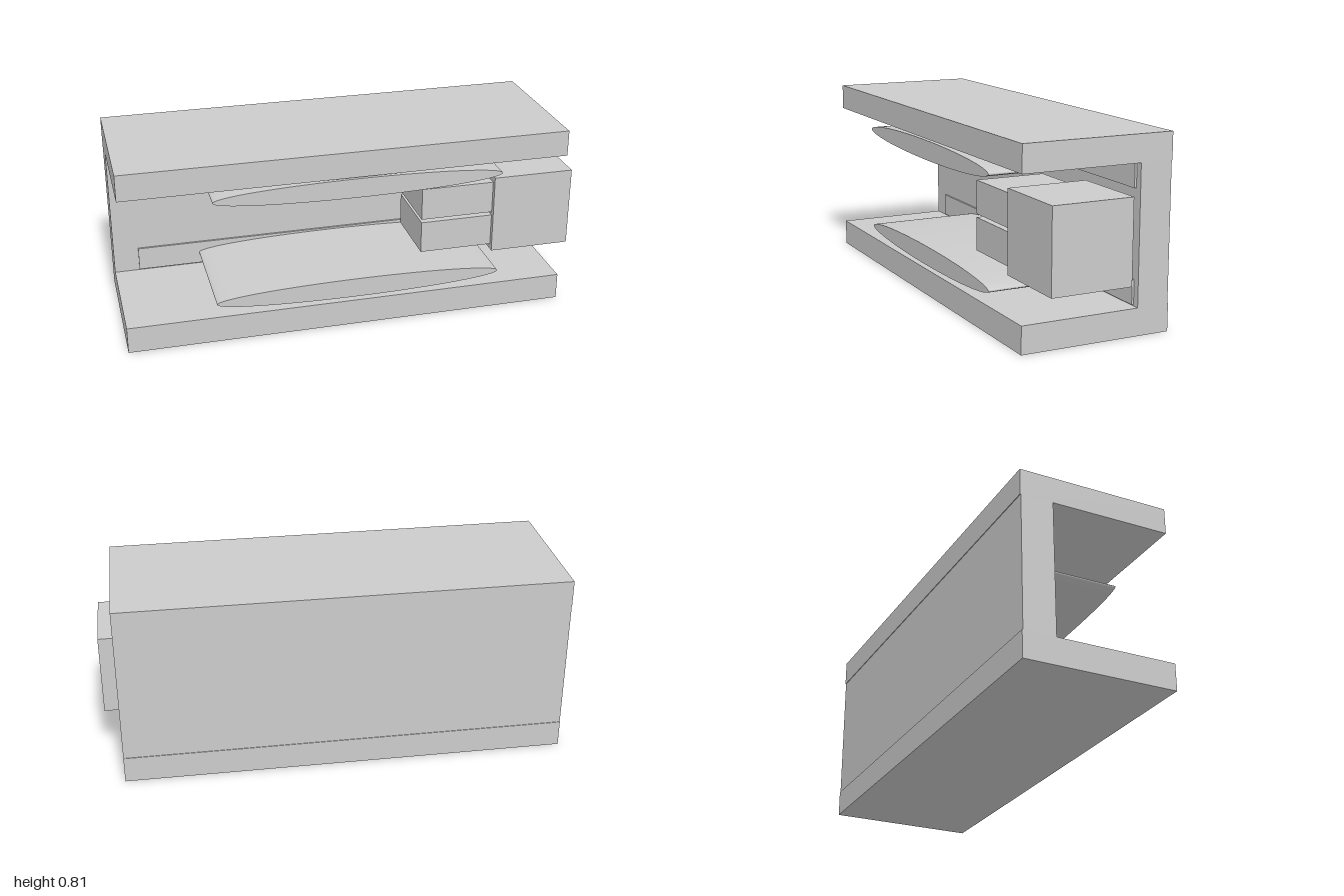
import * as THREE from 'three';

const material = new THREE.MeshStandardMaterial({ color: 0xcccccc });

export function createModel() {
  const model = new THREE.Group();

  // Box given by its limits on each axis
  const box = (name, [x0, x1], [y0, y1], [z0, z1]) => {
    const mesh = new THREE.Mesh(new THREE.BoxGeometry(x1 - x0, y1 - y0, z1 - z0), material);
    mesh.position.set((x0 + x1) / 2, (y0 + y1) / 2, (z0 + z1) / 2);
    mesh.name = name;
    model.add(mesh);
  };

  // C-shaped channel: two flanges and a slightly inset back wall
  const length = [-1, 0.93];
  box('bottomFlange', length, [0, 0.116], [-0.33, 0.33]);
  box('topFlange', length, [0.697, 0.811], [-0.33, 0.33]);
  box('backWall', length, [0.116, 0.697], [-0.327, -0.187]);

  // Thin mounting strips on the back wall
  box('lowerStrip', [-0.89, 0.9], [0.122, 0.225], [-0.19, -0.178]);
  box('upperStrip', [-0.89, 0.9], [0.593, 0.696], [-0.19, -0.178]);

  // Flat elliptical springs reaching forward from the strips
  for (const [name, y] of [['lowerSpring', 0.174], ['upperSpring', 0.645]]) {
    const geometry = new THREE.CylinderGeometry(1, 1, 1, 64);
    geometry.rotateX(Math.PI / 2);
    geometry.scale(0.628, 0.043, 0.505);
    const spring = new THREE.Mesh(geometry, material);
    spring.position.set(0.012, y, 0.0725);
    spring.name = name;
    model.add(spring);
  }

  // Plug block with two prongs
  box('plugBlock', [0.64, 1], [0.23, 0.584], [-0.113, 0.241]);
  box('lowerProng', [0.315, 0.64], [0.254, 0.397], [-0.092, 0.22]);
  box('upperProng', [0.315, 0.64], [0.412, 0.556], [-0.092, 0.22]);

  return model;
}
